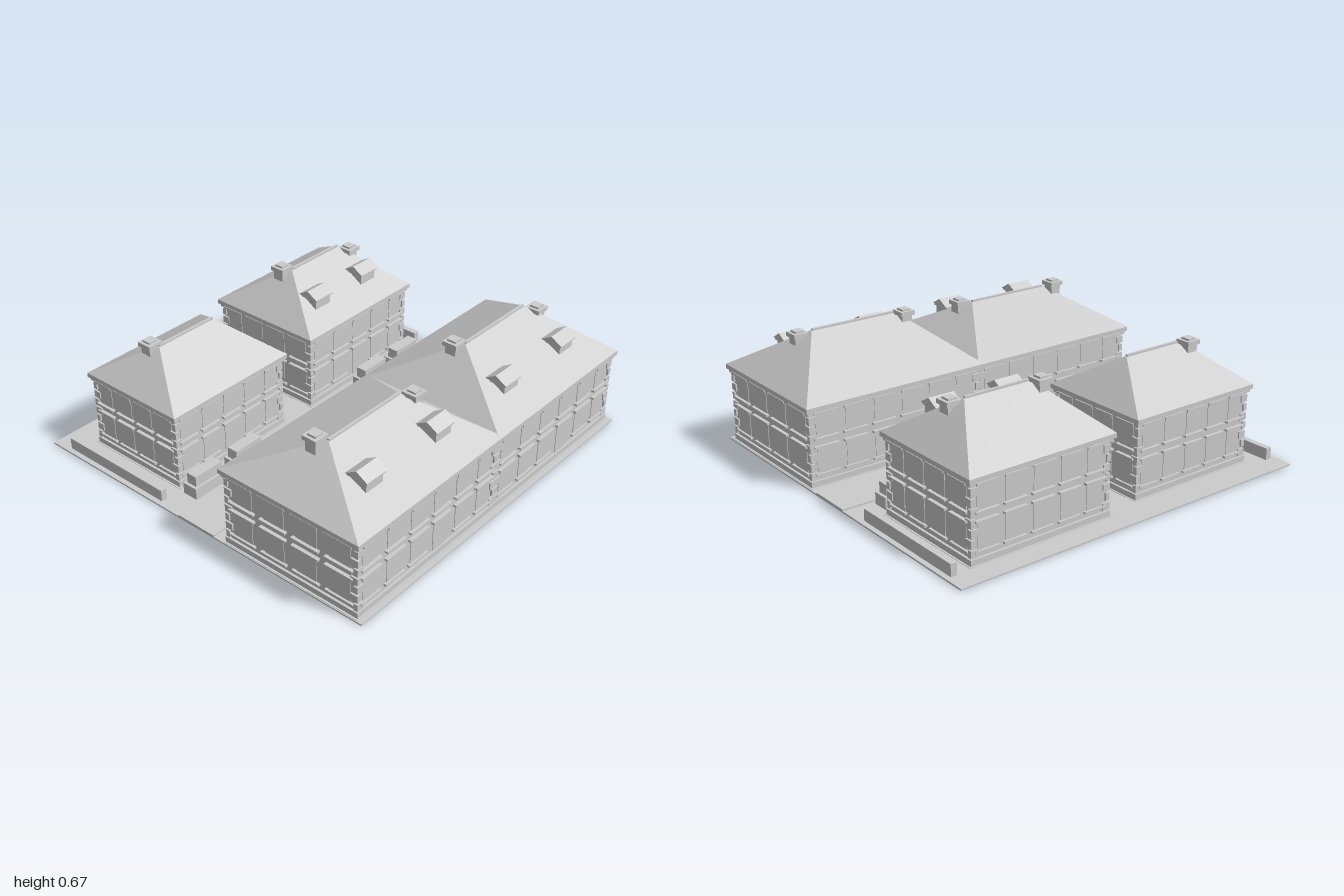
import * as THREE from 'three';

const stone = new THREE.MeshStandardMaterial({ color: 0xcccccc });
stone.name = 'pale grey stone';

// Box given by its extents
function box(parent, name, x0, x1, y0, y1, z0, z1) {
  const mesh = new THREE.Mesh(new THREE.BoxGeometry(x1 - x0, y1 - y0, z1 - z0), stone);
  mesh.position.set((x0 + x1) / 2, (y0 + y1) / 2, (z0 + z1) / 2);
  mesh.name = name;
  parent.add(mesh);
  return mesh;
}

// Hipped roof: rectangular eaves rising to a ridge along x
function hipRoof(parent, x0, x1, z0, z1, y0, y1, r0, r1) {
  const zm = (z0 + z1) / 2;
  const a = [x0, y0, z1], b = [x1, y0, z1], c = [x1, y0, z0], d = [x0, y0, z0];
  const e = [r0, y1, zm], f = [r1, y1, zm];
  const faces = [a, b, f, a, f, e, c, d, e, c, e, f, b, c, f, d, a, e, a, d, c, a, c, b];
  const geometry = new THREE.BufferGeometry();
  geometry.setAttribute('position', new THREE.Float32BufferAttribute(faces.flat(), 3));
  geometry.computeVertexNormals();
  const mesh = new THREE.Mesh(geometry, stone);
  mesh.name = 'roof';
  parent.add(mesh);
  box(parent, 'ridgeCap', r0, r1, y1 - 0.008, y1 + 0.006, zm - 0.007, zm + 0.007);
}

// Small dormer with its ridge along x
function dormer(parent, x, z, eave) {
  const group = new THREE.Group();
  group.name = 'dormer';
  box(group, 'dormerBody', -0.055, 0.055, -0.06, 0, -0.05, 0.045);
  box(group, 'dormerEave', -0.062, 0.062, -0.002, 0.012, -0.055, 0.055);
  const gable = new THREE.Shape();
  gable.moveTo(-0.06, 0.01).lineTo(0.06, 0.01).lineTo(0, 0.045).closePath();
  const roof = new THREE.ExtrudeGeometry(gable, { depth: 0.136, bevelEnabled: false });
  roof.translate(0, 0, -0.068).rotateY(Math.PI / 2);
  const mesh = new THREE.Mesh(roof, stone);
  mesh.name = 'dormerRoof';
  group.add(mesh);
  group.position.set(x, eave, z);
  parent.add(group);
}

function chimney(parent, x, z, top) {
  const group = new THREE.Group();
  group.name = 'chimney';
  box(group, 'chimneyShaft', -0.03, 0.03, -0.16, -0.03, -0.03, 0.03);
  box(group, 'chimneyCap', -0.04, 0.04, -0.032, -0.01, -0.04, 0.04);
  box(group, 'chimneyTop', -0.024, 0.024, -0.01, 0, -0.024, 0.024);
  group.position.set(x, top, z);
  parent.add(group);
}

// One facade, built facing +z around its centre line
function facade(length, count, doorIndex) {
  const group = new THREE.Group();
  group.name = 'facade';
  const pitch = length / count, half = pitch * 0.41;
  for (let i = 0; i < count; i++) {
    const x = (i + 0.5 - count / 2) * pitch;
    const isDoor = i === doorIndex;
    box(group, isDoor ? 'door' : 'lowerWindow', x - half * 0.75, x + half * 0.75, isDoor ? 0.04 : 0.073, 0.203, -0.002, 0.003);
    box(group, 'upperWindow', x - half * 0.75, x + half * 0.75, 0.253, 0.37, -0.002, 0.003);
    if (!isDoor) box(group, 'lowerSill', x - half, x + half, 0.063, 0.073, -0.005, 0.014);
    box(group, 'lowerLintel', x - half, x + half, 0.203, 0.213, -0.005, 0.018);
    box(group, 'upperSill', x - half, x + half, 0.245, 0.255, -0.005, 0.018);
    box(group, 'upperLintel', x - half, x + half, 0.374, 0.386, -0.005, 0.022);
  }
  return group;
}

function house({ name, x, z, ridge, windows, door, chimneys, dormers = [] }) {
  const group = new THREE.Group();
  group.name = name;
  const [x0, x1] = x, [z0, z1] = z, [r0, r1, top] = ridge;
  const ring = (part, inset, y0, y1) =>
    box(group, part, x0 + inset, x1 - inset, y0, y1, z0 + inset, z1 - inset);
  ring('footing', 0.005, 0, 0.012);
  ring('plinth', 0.014, 0.01, 0.04);
  ring('walls', 0.026, 0.03, 0.38);
  ring('cornice', 0.01, 0.375, 0.392);
  ring('eaves', 0, 0.392, 0.415);
  hipRoof(group, x0, x1, z0, z1, 0.415, top, r0, r1);

  // Window rows on all four sides
  const cx = (x0 + x1) / 2, cz = (z0 + z1) / 2;
  const w = x1 - x0 - 0.052, d = z1 - z0 - 0.052;
  for (let side = 0; side < 4; side++) {
    const long = side % 2 === 0, angle = side * Math.PI / 2;
    const wall = facade(long ? w : d, windows[side % 2], side === 0 ? door : -1);
    const out = (long ? d : w) / 2;
    wall.position.set(cx + Math.sin(angle) * out, 0, cz + Math.cos(angle) * out);
    wall.rotation.y = angle;
    group.add(wall);
  }

  // Alternating corner stones
  for (const sx of [-1, 1]) for (const sz of [-1, 1]) for (let i = 0; i < 7; i++) {
    const a = i % 2 ? 0.022 : 0.04, b = i % 2 ? 0.04 : 0.022;
    const px = cx + sx * (w / 2 + 0.009 - a / 2), pz = cz + sz * (d / 2 + 0.009 - b / 2);
    const y = 0.045 + i * 0.047;
    box(group, 'cornerStone', px - a / 2, px + a / 2, y, y + 0.036, pz - b / 2, pz + b / 2);
  }
  chimneys.forEach(([px, pz, py]) => chimney(group, px, pz, py));
  dormers.forEach(([px, pz]) => dormer(group, px, pz, 0.535));
  return group;
}

export function createModel() {
  const model = new THREE.Group();
  model.name = 'houseBlock';

  // Ground and lane
  box(model, 'ground', -1, 1, 0.002, 0.01, -1, 1);
  box(model, 'lane', -1, 1, 0.008, 0.018, -0.1, 0.13);

  // Front row
  model.add(house({
    name: 'frontRightHouse', x: [-1, 0.015], z: [0.18, 0.98], ridge: [-0.725, -0.245, 0.605],
    windows: [6, 4], door: 3,
    chimneys: [[-0.765, 0.54, 0.647], [-0.195, 0.625, 0.622]],
    dormers: [[-0.725, 0.79], [-0.25, 0.79]],
  }));
  model.add(house({
    name: 'frontLeftHouse', x: [-0.02, 1], z: [0.18, 0.98], ridge: [0.245, 0.725, 0.642],
    windows: [6, 4], door: 3,
    chimneys: [[0.215, 0.54, 0.665], [0.78, 0.625, 0.64]],
    dormers: [[0.255, 0.8], [0.72, 0.8]],
  }));

  // Back houses
  model.add(house({
    name: 'backRightHouse', x: [-0.86, -0.1], z: [-0.85, -0.24], ridge: [-0.655, -0.305, 0.595],
    windows: [5, 4], door: 2,
    chimneys: [[-0.675, -0.585, 0.622]],
  }));
  model.add(house({
    name: 'backLeftHouse', x: [0.07, 0.875], z: [-0.895, -0.235], ridge: [0.295, 0.655, 0.62],
    windows: [5, 4], door: 2,
    chimneys: [[0.265, -0.605, 0.647], [0.7, -0.52, 0.622]],
    dormers: [[0.29, -0.39], [0.65, -0.39]],
  }));

  // Planters with clipped hedges
  for (const x of [-0.76, -0.49, 0.475, 0.74]) {
    box(model, 'planter', x - 0.1, x + 0.1, 0.01, 0.07, -0.21, -0.125);
    box(model, 'hedge', x - 0.085, x + 0.085, 0.07, 0.125, -0.197, -0.138);
  }

  // Low boundary walls
  for (const x of [-0.958, 0.958]) {
    box(model, 'boundaryWall', x - 0.016, x + 0.016, 0.008, 0.07, -0.895, -0.24);
  }
  return model;
}
